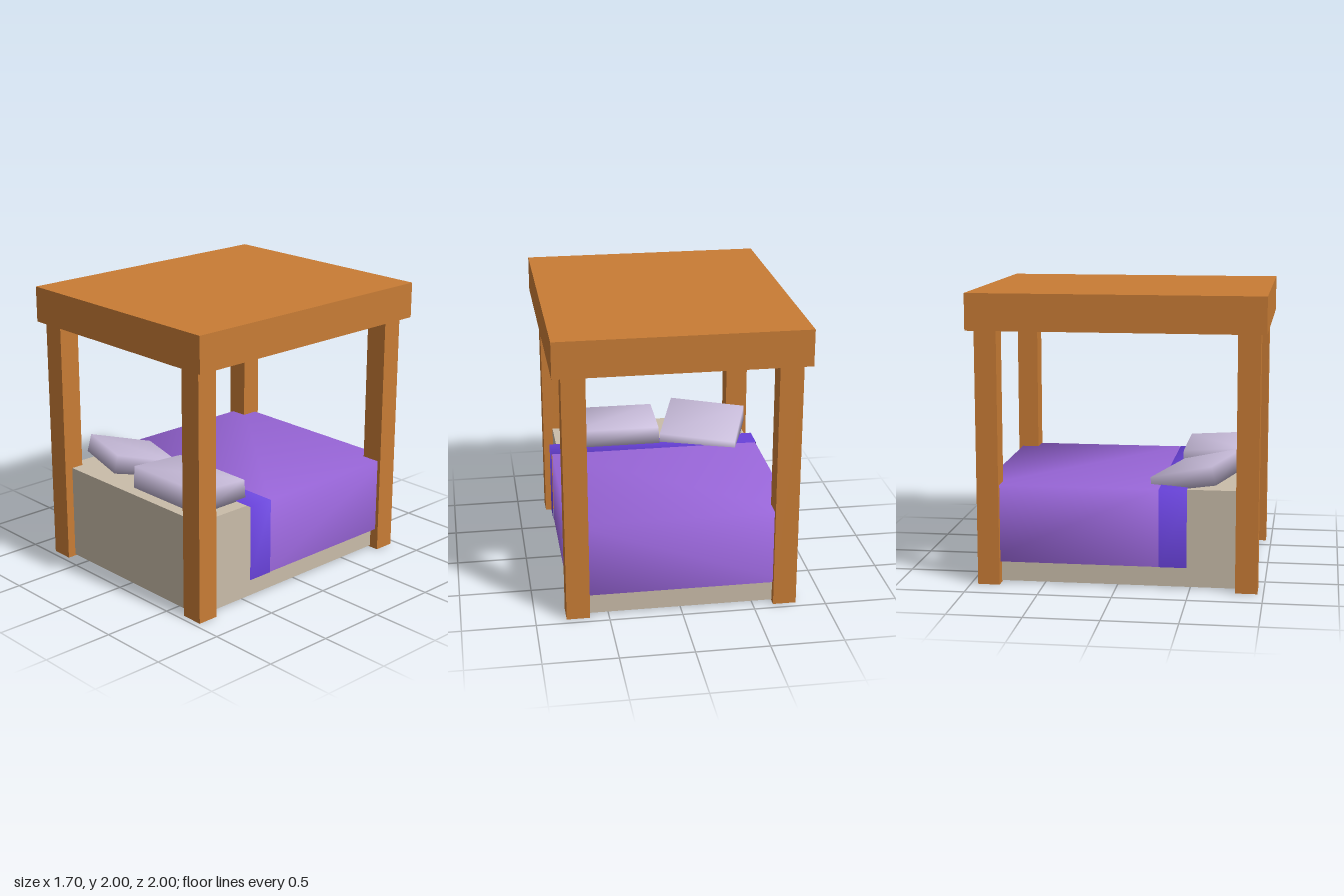
import * as THREE from 'three';
import { mergeVertices } from 'three/addons/utils/BufferGeometryUtils.js';

const paint = (color) => new THREE.MeshStandardMaterial({ color, side: THREE.DoubleSide });
const wood = paint(0xc87c35);
const cream = paint(0xc9bca9);
const lavender = paint(0xc6bad8);
const purple = paint(0x9966d9);
const violet = paint(0x6640d6);

function add(parent, name, geometry, material, x = 0, y = 0, z = 0) {
  const mesh = new THREE.Mesh(geometry, material);
  mesh.name = name;
  mesh.position.set(x, y, z);
  parent.add(mesh);
  return mesh;
}

// Cloth draped over the bed: top and two sides, optionally the back, smooth across the folds
function drape(halfWidth, bottom, top, back, front, closedBack) {
  const points = [];
  for (const z of [back, front]) {
    points.push(-halfWidth, bottom, z, -halfWidth, top, z, halfWidth, top, z, halfWidth, bottom, z);
  }
  const index = [];
  for (let i = 0; i < 3; i++) index.push(i, i + 4, i + 5, i, i + 5, i + 1);
  if (closedBack) index.push(0, 1, 2, 0, 2, 3);
  const geometry = new THREE.BufferGeometry();
  geometry.setAttribute('position', new THREE.Float32BufferAttribute(points, 3));
  geometry.setIndex(index);
  geometry.computeVertexNormals();
  return geometry;
}

// Simple cushion: a box with a slightly smaller, back-sloping top and shared smooth normals
function cushion(width, height, depth) {
  const box = new THREE.BoxGeometry(width, height, depth);
  const p = box.attributes.position;
  for (let i = 0; i < p.count; i++) {
    if (p.getY(i) > 0) {
      p.setX(i, p.getX(i) * 0.98);
      p.setZ(i, p.getZ(i) * 0.98);
      if (p.getZ(i) < 0) p.setY(i, p.getY(i) - 0.025);
    }
  }
  box.deleteAttribute('normal');
  box.deleteAttribute('uv');
  const geometry = mergeVertices(box);
  geometry.computeVertexNormals();
  return geometry;
}

export function createModel() {
  const bed = new THREE.Group();
  bed.name = 'canopyBed';

  // Canopy and four posts
  add(bed, 'canopy', new THREE.BoxGeometry(1.7, 0.25, 2), wood, 0, 1.875, 0);
  const post = new THREE.BoxGeometry(0.16, 1.76, 0.15);
  for (const x of [-0.72, 0.71]) {
    for (const z of [-0.875, 0.885]) {
      add(bed, `${z > 0 ? 'front' : 'back'}${x > 0 ? 'Left' : 'Right'}Post`, post, wood, x, 0.88, z);
    }
  }

  // Mattress
  add(bed, 'mattress', new THREE.BoxGeometry(1.44, 0.675, 1.8), cream, 0, 0.3475, 0);

  // Blanket with a folded band toward the pillows
  add(bed, 'blanket', drape(0.765, 0.155, 0.69, -0.92, 0.3, true), purple);
  add(bed, 'blanketFold', drape(0.77, 0.155, 0.693, 0.29, 0.48, false), violet);

  // Pillows
  add(bed, 'leftPillow', cushion(0.67, 0.16, 0.43), lavender, 0.285, 0.765, 0.6);
  const tilted = add(bed, 'rightPillow', cushion(0.58, 0.13, 0.48), lavender, -0.4, 0.757, 0.53);
  tilted.rotation.set(-0.2, -0.34, 0.05, 'YXZ');

  return bed;
}
